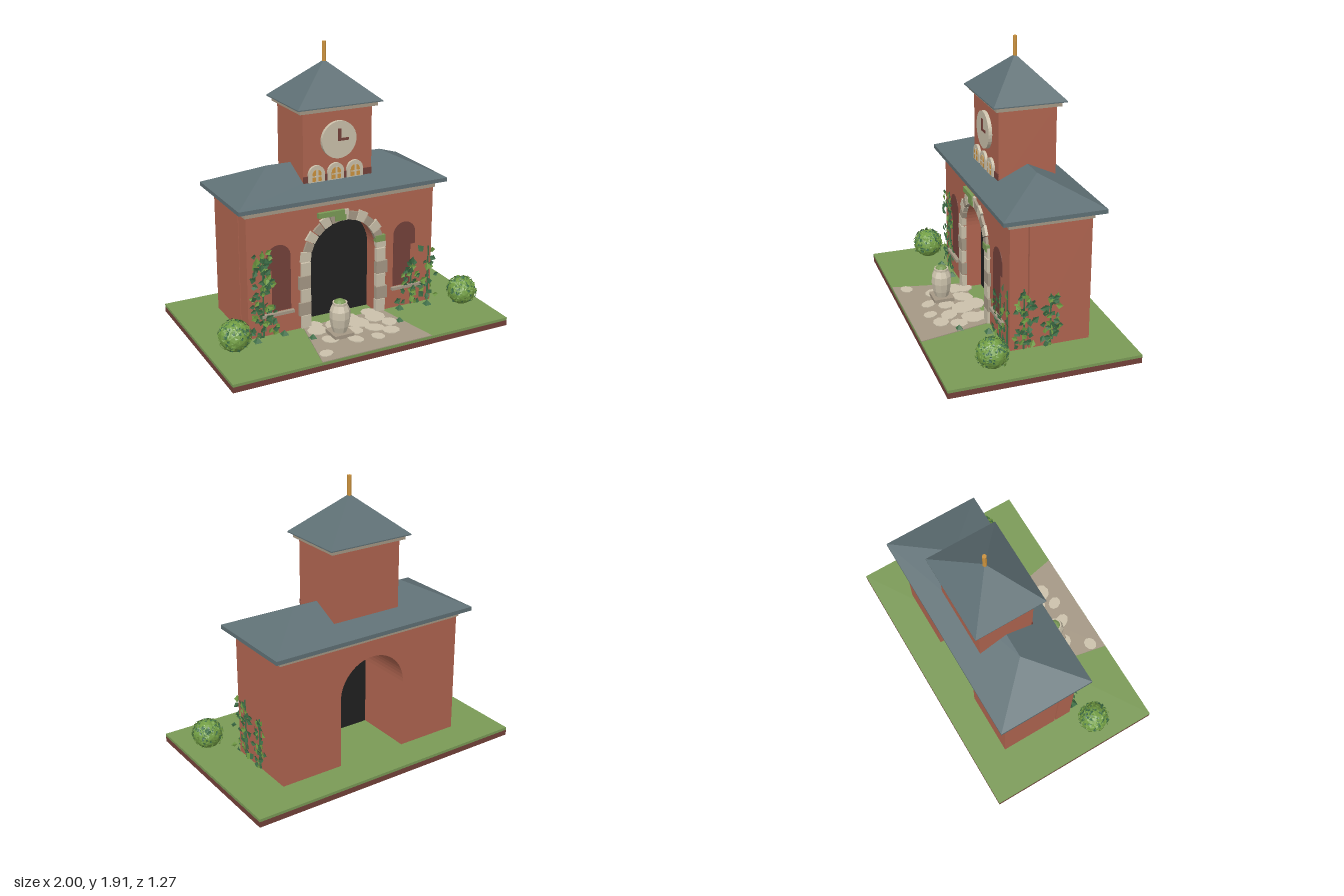
import * as THREE from 'three';

const mat = (name, color, double) => {
  const m = new THREE.MeshStandardMaterial({ color });
  m.name = name;
  m.flatShading = true;
  if (double) m.side = THREE.DoubleSide;
  return m;
};
const M = {
  brick: mat('brick', 0xb06550),
  darkBrick: mat('dark brick', 0x74423a),
  slate: mat('slate', 0x5f7075, true),
  cream: mat('pale stone', 0xcbc1ab),
  taupe: mat('weathered stone', 0xa59885),
  grass: mat('grass', 0x7a9a56, true),
  leafDark: mat('dark leaf', 0x3f7048, true),
  leafBright: mat('bright leaf', 0x739f45, true),
  black: mat('shadow black', 0x202020, true),
  amber: mat('amber', 0xcc923d),
};
const CZ = -0.14; // depth of the building's centre line

let seed = 7;
const rnd = () => (seed = (seed * 16807) % 2147483647) / 2147483647;
const spread = (s) => (rnd() - 0.5) * 2 * s;

export function createModel() {
  const root = new THREE.Group();
  root.name = 'clockTowerGatehouse';

  const add = (name, geo, material, x = 0, y = 0, z = 0) => {
    const mesh = new THREE.Mesh(geo, material);
    mesh.name = name;
    mesh.position.set(x, y, z);
    root.add(mesh);
    return mesh;
  };
  // box given by its extents
  const box = (name, m, x0, x1, y0, y1, z0, z1) =>
    add(name, new THREE.BoxGeometry(x1 - x0, y1 - y0, z1 - z0), m, (x0 + x1) / 2, (y0 + y1) / 2, (z0 + z1) / 2);
  const extrude = (name, shape, m, z0, z1) =>
    add(name, new THREE.ExtrudeGeometry(shape, { depth: z1 - z0, bevelEnabled: false, curveSegments: 14 }), m, 0, 0, z0);
  // round-headed opening outline
  const archShape = (cx, w, y0, spring) => {
    const s = new THREE.Shape();
    s.moveTo(cx - w, y0);
    s.lineTo(cx + w, y0);
    s.lineTo(cx + w, spring);
    s.absarc(cx, spring, w, 0, Math.PI, false);
    s.lineTo(cx - w, y0);
    return s;
  };
  // hipped roof: eave rectangle rising to a ridge of half length r
  const hip = (name, hx, hz, y0, y1, r) => {
    const g = new THREE.BufferGeometry();
    const A = [-hx, y0, hz], B = [hx, y0, hz], C = [hx, y0, -hz], D = [-hx, y0, -hz], L = [-r, y1, 0], R = [r, y1, 0];
    const tris = [A, B, R, B, C, R, C, D, L, D, A, L, A, C, B, A, D, C];
    if (r > 0) tris.push(A, R, L, C, L, R);
    g.setAttribute('position', new THREE.Float32BufferAttribute(tris.flat(), 3));
    g.computeVertexNormals();
    return add(name, g, M.slate, 0, 0, CZ);
  };

  // ground slab
  box('soilSlab', M.darkBrick, -1, 1, 0.02, 0.058, -0.64, 0.63);
  box('lawn', M.grass, -1, 1, 0.058, 0.077, -0.64, 0.63);

  // gatehouse walls: two layers with a dark door between
  const wall = new THREE.Shape();
  wall.moveTo(-0.69, 0.075);
  wall.lineTo(-0.25, 0.075);
  wall.lineTo(-0.25, 0.55);
  wall.absarc(0, 0.55, 0.25, Math.PI, 0, true);
  wall.lineTo(0.25, 0.075);
  wall.lineTo(0.69, 0.075);
  wall.lineTo(0.69, 0.92);
  wall.lineTo(-0.69, 0.92);
  wall.closePath();
  extrude('rearWall', wall, M.brick, -0.41, 0.005);
  extrude('frontWall', wall, M.brick, 0.015, 0.135);
  extrude('darkDoor', archShape(0, 0.249, 0.077, 0.55), M.black, 0.006, 0.014);

  // cornice and main roof
  box('cornice', M.taupe, -0.7, 0.7, 0.917, 0.963, -0.42, 0.145);
  box('roofEave', M.slate, -0.76, 0.76, 0.963, 0.99, -0.48, 0.2);
  hip('mainRoof', 0.76, 0.34, 0.99, 1.15, 0.42);

  // tower
  box('tower', M.brick, -0.25, 0.25, 1.0, 1.52, -0.335, 0.055);
  box('towerBand', M.darkBrick, -0.25, 0.25, 1.05, 1.1, 0.05, 0.06);
  box('towerCornice', M.taupe, -0.28, 0.28, 1.52, 1.55, -0.36, 0.08);
  box('towerEave', M.slate, -0.305, 0.305, 1.55, 1.557, -0.387, 0.107);
  hip('towerRoof', 0.305, 0.247, 1.557, 1.81, 0);
  add('spire', new THREE.CylinderGeometry(0.014, 0.014, 0.13, 8), M.amber, 0, 1.865, CZ);

  // clock
  add('clockFace', new THREE.CylinderGeometry(0.125, 0.125, 0.025, 32).rotateX(Math.PI / 2), M.cream, 0, 1.325, 0.067);
  box('minuteHand', M.darkBrick, -0.01, 0.01, 1.318, 1.4, 0.079, 0.085);
  box('hourHand', M.darkBrick, 0.01, 0.065, 1.318, 1.335, 0.079, 0.085);

  // three small arched windows
  for (const x of [-0.16, -0.02, 0.12]) {
    extrude('windowFrame', archShape(x, 0.058, 1.058, 1.112), M.cream, 0.05, 0.073);
    extrude('windowGlass', archShape(x, 0.033, 1.065, 1.11), M.amber, 0.072, 0.076);
    box('windowMullion', M.cream, x - 0.007, x + 0.007, 1.065, 1.143, 0.074, 0.08);
    box('windowBar', M.cream, x - 0.033, x + 0.033, 1.095, 1.102, 0.074, 0.079);
  }

  // side niches and ledges
  for (const s of [-1, 1]) {
    extrude('niche', archShape(s * 0.47, 0.085, 0.53, 0.615), M.darkBrick, 0.132, 0.138);
    box('nicheLower', M.darkBrick, s * 0.4525 - 0.0675, s * 0.4525 + 0.0675, 0.24, 0.53, 0.132, 0.138);
    box('ledge', M.taupe, s * 0.485 - 0.115, s * 0.485 + 0.115, 0.215, 0.235, 0.13, 0.16);
  }

  // arch surround: jamb blocks and wedge stones
  const stones = [M.cream, M.taupe];
  for (const s of [-1, 1])
    for (let i = 0; i < 5; i++) {
      const w = i % 2 ? 0.085 : 0.068, y = 0.08 + i * 0.094;
      box('jambStone', stones[i % 2], s * (0.247 + w / 2) - w / 2, s * (0.247 + w / 2) + w / 2, y, y + 0.09, 0.12, 0.155);
    }
  for (let i = 0; i < 13; i++) {
    const a0 = (i / 13) * Math.PI + 0.01, a1 = ((i + 1) / 13) * Math.PI - 0.01, ro = i % 2 ? 0.305 : 0.32;
    const st = new THREE.Shape();
    [[0.247, a0], [ro, a0], [ro, a1], [0.247, a1]].forEach(([r, a], k) =>
      st[k ? 'lineTo' : 'moveTo'](r * Math.cos(a), 0.55 + r * Math.sin(a)));
    extrude('archStone', st, stones[i % 2], 0.12, 0.153);
  }
  box('archMoss', M.grass, -0.19, 0, 0.838, 0.872, 0.13, 0.16);
  box('archMoss', M.grass, -0.07, 0.01, 0.8, 0.838, 0.13, 0.16);
  box('archMoss', M.grass, 0.235, 0.31, 0.598, 0.643, 0.13, 0.16);

  // path and flagstones
  const path = new THREE.Shape([[-0.4, -0.628], [0.4, -0.628], [0.3, -0.137], [-0.3, -0.137]].map((p) => new THREE.Vector2(...p)));
  add('path', new THREE.ExtrudeGeometry(path, { depth: 0.006, bevelEnabled: false }).rotateX(-Math.PI / 2), M.taupe, 0, 0.076, 0);
  const flags = [[-0.24, 0.23, 0.07], [-0.1, 0.2, 0.08], [0.05, 0.24, 0.09], [0.2, 0.22, 0.08], [-0.22, 0.38, 0.06],
    [-0.02, 0.34, 0.06], [0.12, 0.36, 0.07], [0.25, 0.33, 0.06], [-0.07, 0.45, 0.06], [0.08, 0.48, 0.05],
    [0.2, 0.44, 0.06], [-0.33, 0.54, 0.05], [0.02, 0.15, 0.08], [-0.22, 0.15, 0.06], [0.2, 0.14, 0.06]];
  for (const [x, z, r] of flags) {
    const f = add('flagstone', new THREE.CylinderGeometry(r, r, 0.006, 9), M.cream, x, 0.084, z);
    f.rotation.y = rnd() * 3;
    f.scale.z = 0.7 + rnd() * 0.25;
  }

  // urn with moss
  box('urnBase', M.taupe, -0.2, -0.06, 0.08, 0.108, 0.27, 0.41);
  const urn = [[0, 0.105], [0.045, 0.105], [0.06, 0.15], [0.07, 0.21], [0.068, 0.26], [0.05, 0.3], [0.05, 0.315], [0, 0.315]];
  add('urn', new THREE.LatheGeometry(urn.map((p) => new THREE.Vector2(...p)), 10), M.cream, -0.13, 0, 0.34);
  add('urnMoss', new THREE.SphereGeometry(0.042, 10, 6).scale(1, 0.6, 1), M.grass, -0.13, 0.31, 0.34);

  // folded leaves, gathered into one mesh per colour
  const leafTris = [[0, 0, 0], [0.42, 0.45, 0.12], [0, 1, 0], [0, 0, 0], [0, 1, 0], [-0.42, 0.45, 0.12]];
  const leaves = (name, count, colours, place) => {
    const lists = colours.map(() => []);
    const o = new THREE.Object3D(), v = new THREE.Vector3();
    for (let i = 0; i < count; i++) {
      const { p, n, size } = place(i / count);
      o.position.copy(p);
      o.lookAt(v.copy(p).add(n));
      o.rotateZ(rnd() * 6.28);
      o.rotateX(spread(0.35));
      o.scale.setScalar(size * (0.75 + rnd() * 0.5));
      o.updateMatrix();
      for (const t of leafTris) lists[i % colours.length].push(...v.set(...t).applyMatrix4(o.matrix).toArray());
    }
    lists.forEach((list, k) => {
      const g = new THREE.BufferGeometry();
      g.setAttribute('position', new THREE.Float32BufferAttribute(list, 3));
      g.computeVertexNormals();
      add(name, g, colours[k]);
    });
  };

  // round bushes
  for (const [x, y, z, r] of [[-0.83, 0.185, 0.245, 0.105], [0.845, 0.18, 0.3, 0.1]]) {
    add('bushCore', new THREE.IcosahedronGeometry(r * 0.95, 2), M.leafBright, x, y, z);
    leaves('bushLeaves', 320, [M.leafBright, M.leafDark, M.leafBright], () => {
      const n = new THREE.Vector3(spread(1), spread(1), spread(1)).normalize();
      if (n.y < -0.5) n.y *= -1;
      return { p: n.clone().multiplyScalar(r).add(new THREE.Vector3(x, y, z)), n, size: 0.024 };
    });
  }

  // ivy patches: [x, z, base spread, top spread, height, count], on the front or the left side wall
  const ivy = (name, x, z, s0, s1, h, count, side) => {
    const n = side ? new THREE.Vector3(1, 0, 0) : new THREE.Vector3(0, 0, 1);
    add(name + 'Stem', new THREE.CylinderGeometry(0.005, 0.007, h, 5), M.leafDark, x, 0.08 + h / 2, z);
    leaves(name, count, [M.leafDark, M.leafBright, M.leafDark], (t) => {
      const off = spread(s0 + (s1 - s0) * Math.sqrt(t)), out = rnd() * 0.02;
      const p = new THREE.Vector3(x + (side ? out : off), 0.1 + t * (h - 0.03), z + (side ? off : out));
      return { p, n, size: 0.05 };
    });
  };
  ivy('ivyTall', -0.585, 0.14, 0.11, 0.05, 0.6, 95);
  ivy('ivyLow', 0.53, 0.14, 0.11, 0.06, 0.33, 40);
  ivy('ivyCorner', 0.665, 0.14, 0.03, 0.05, 0.41, 18);
  ivy('ivySideFront', 0.695, 0.04, 0.07, 0.05, 0.42, 42, true);
  ivy('ivySideRear', 0.695, -0.14, 0.07, 0.04, 0.36, 40, true);

  // grass tufts
  for (const [x, z] of [[-0.65, 0.19], [0.63, 0.2], [-0.31, 0.31], [0.32, 0.35], [0.42, 0.18], [-0.45, 0.17]])
    add('tuft', new THREE.ConeGeometry(0.034, 0.035, 4).rotateY(Math.PI / 4), M.leafDark, x, 0.094, z);

  return root;
}
